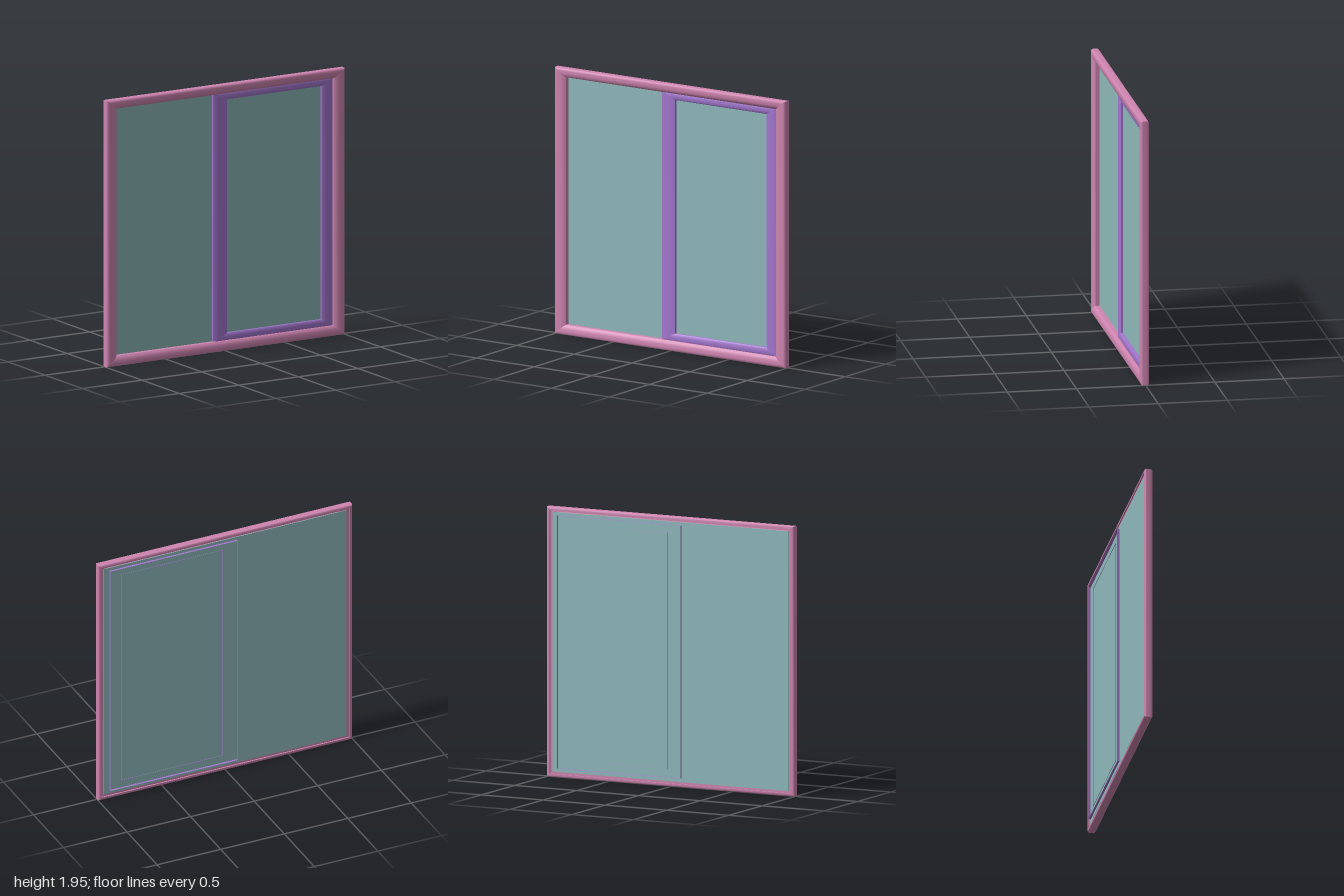
import * as THREE from 'three';
import { mergeGeometries } from 'three/addons/utils/BufferGeometryUtils.js';

// Mitred rectangular moulding. outer/inner: [x0, y0, x1, y1].
// strips: smooth runs of the cross-section as [t, z], t = 0 at outer edge, 1 at inner edge.
function moulding(outer, inner, strips) {
  const corners = ([x0, y0, x1, y1]) => [[x0, y0], [x1, y0], [x1, y1], [x0, y1]];
  const o = corners(outer), n = corners(inner);
  const parts = [];
  for (let side = 0; side < 4; side++) {
    for (const strip of strips) {
      const pos = [], index = [];
      strip.forEach(([t, z], j) => {
        for (const c of [side, (side + 1) % 4]) {
          pos.push(o[c][0] + (n[c][0] - o[c][0]) * t, o[c][1] + (n[c][1] - o[c][1]) * t, z);
        }
        if (j > 0) {
          const a = 2 * (j - 1);
          index.push(a, a + 1, a + 3, a, a + 3, a + 2);
        }
      });
      const g = new THREE.BufferGeometry();
      g.setAttribute('position', new THREE.Float32BufferAttribute(pos, 3));
      g.setIndex(index);
      g.computeVertexNormals();
      parts.push(g);
    }
  }
  return mergeGeometries(parts);
}

export function createModel() {
  const group = new THREE.Group();
  const add = (name, geometry, color) => {
    const mesh = new THREE.Mesh(geometry,
      new THREE.MeshStandardMaterial({ color, side: THREE.DoubleSide }));
    mesh.name = name;
    group.add(mesh);
    return mesh;
  };

  // Outer frame: rounded front, back lip with a rebate for the pane
  add('outerFrame', moulding([-1, 0, 1, 1.945], [-0.91, 0.073, 0.91, 1.877], [
    [[0.5, -0.015], [0.3, -0.015]],
    [[0.3, -0.015], [0.3, -0.025]],
    [[0.3, -0.025], [0.12, -0.025], [0.03, -0.021], [0, -0.012], [0, 0.018],
      [0.03, 0.027], [0.12, 0.033], [0.3, 0.035], [0.6, 0.034], [0.85, 0.028], [1, 0.016]],
    [[1, 0.016], [1, -0.016]],
  ]), 0xcf85b0);

  // Sliding sash: hollow moulding, open at the back, its walls passing through the pane
  add('slidingSash', moulding([-0.09, 0.065, 0.91, 1.885], [0.025, 0.125, 0.82, 1.828], [
    [[0, -0.035], [0, 0.001]],
    [[0, 0.001], [0.12, 0.006], [0.35, 0.009], [0.65, 0.009], [0.88, 0.006], [1, 0.001]],
    [[1, 0.001], [1, -0.022]],
  ]), 0xa377cf);

  // Single pane set in the frame rebate
  const pane = add('glassPane', new THREE.BoxGeometry(1.91, 1.87, 0.005), 0x8fb9bb);
  pane.position.set(0, 0.9725, -0.0165);

  return group;
}
